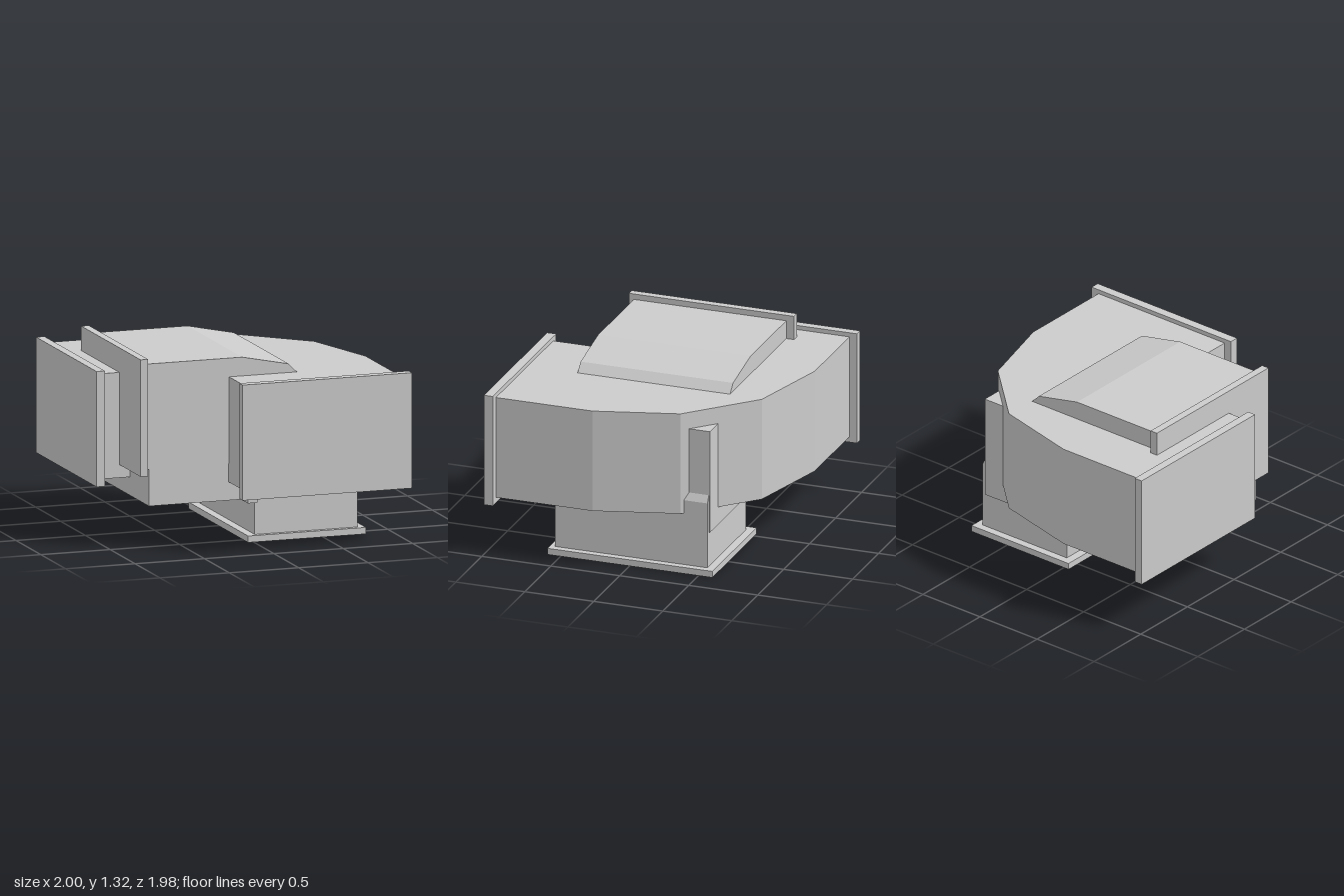
import * as THREE from 'three';

const material = new THREE.MeshStandardMaterial({ color: 0xcccccc, flatShading: true });

// Box given by its lower and upper corners
function addBox(parent, name, [x0, y0, z0], [x1, y1, z1]) {
  const mesh = new THREE.Mesh(new THREE.BoxGeometry(x1 - x0, y1 - y0, z1 - z0), material);
  mesh.position.set((x0 + x1) / 2, (y0 + y1) / 2, (z0 + z1) / 2);
  mesh.name = name;
  parent.add(mesh);
}

// Prism extruded from a flat outline
function addPrism(parent, name, points, depth) {
  const shape = new THREE.Shape(points.map(([x, y]) => new THREE.Vector2(x, y)));
  const geometry = new THREE.ExtrudeGeometry(shape, { depth, bevelEnabled: false });
  const mesh = new THREE.Mesh(geometry, material);
  mesh.name = name;
  parent.add(mesh);
  return mesh;
}

// Three-segment quarter bend, from straight up to straight right
function bend(cx, cy, rx, ry) {
  return [0, 1, 2, 3].map((i) => {
    const a = (i * Math.PI) / 6;
    return [cx + rx * Math.sin(a), cy + ry * Math.cos(a)];
  });
}

export function createModel() {
  const model = new THREE.Group();
  model.name = 'crossingDucts';

  // Level elbow: turns from the right side to the front
  const level = new THREE.Group();
  level.name = 'levelElbow';
  const levelOutline = [
    [-0.95, 0.935], ...bend(-0.27, -0.22, 1.21, 1.155), [0.94, -0.93],
    [-0.165, -0.93], ...bend(-0.27, -0.22, 0.105, 0.05).reverse(), [-0.95, -0.17],
  ];
  const levelBody = addPrism(level, 'levelElbowBody', levelOutline, 0.73);
  levelBody.rotation.x = -Math.PI / 2;
  levelBody.position.y = 0.42;
  addBox(level, 'levelSideFlange', [-1, 0.38, -0.99], [-0.94, 1.18, 0.225]);
  addBox(level, 'levelFrontFlange', [-0.22, 0.38, 0.92], [1, 1.18, 0.985]);

  // Upright elbow: turns from the right side down to the base
  const upright = new THREE.Group();
  upright.name = 'uprightElbow';
  const uprightOutline = [
    [-0.78, 1.28], [-0.07, 1.28], [0.265, 1.21], [0.51, 0.96], [0.76, 0.515],
    [0.76, 0.03], [0.02, 0.03], [0.02, 0.47], [-0.06, 0.55], [-0.78, 0.55],
  ];
  addPrism(upright, 'uprightElbowBody', uprightOutline, 1.105).position.z = -0.545;
  addBox(upright, 'uprightSideFlange', [-0.815, 0.51, -0.6], [-0.76, 1.32, 0.595]);
  addBox(upright, 'baseFlange', [-0.04, 0, -0.6], [0.81, 0.045, 0.595]);

  // Straight duct passing through both elbows, with its joint collar
  const straight = new THREE.Group();
  straight.name = 'straightDuct';
  addBox(straight, 'straightDuctBody', [-0.74, 0.293, -0.553], [0.732, 1.03, 0.553]);
  addBox(straight, 'straightDuctCollar', [-0.04, 0.27, -0.588], [0.03, 1.055, 0.59]);

  model.add(level, upright, straight);
  return model;
}
